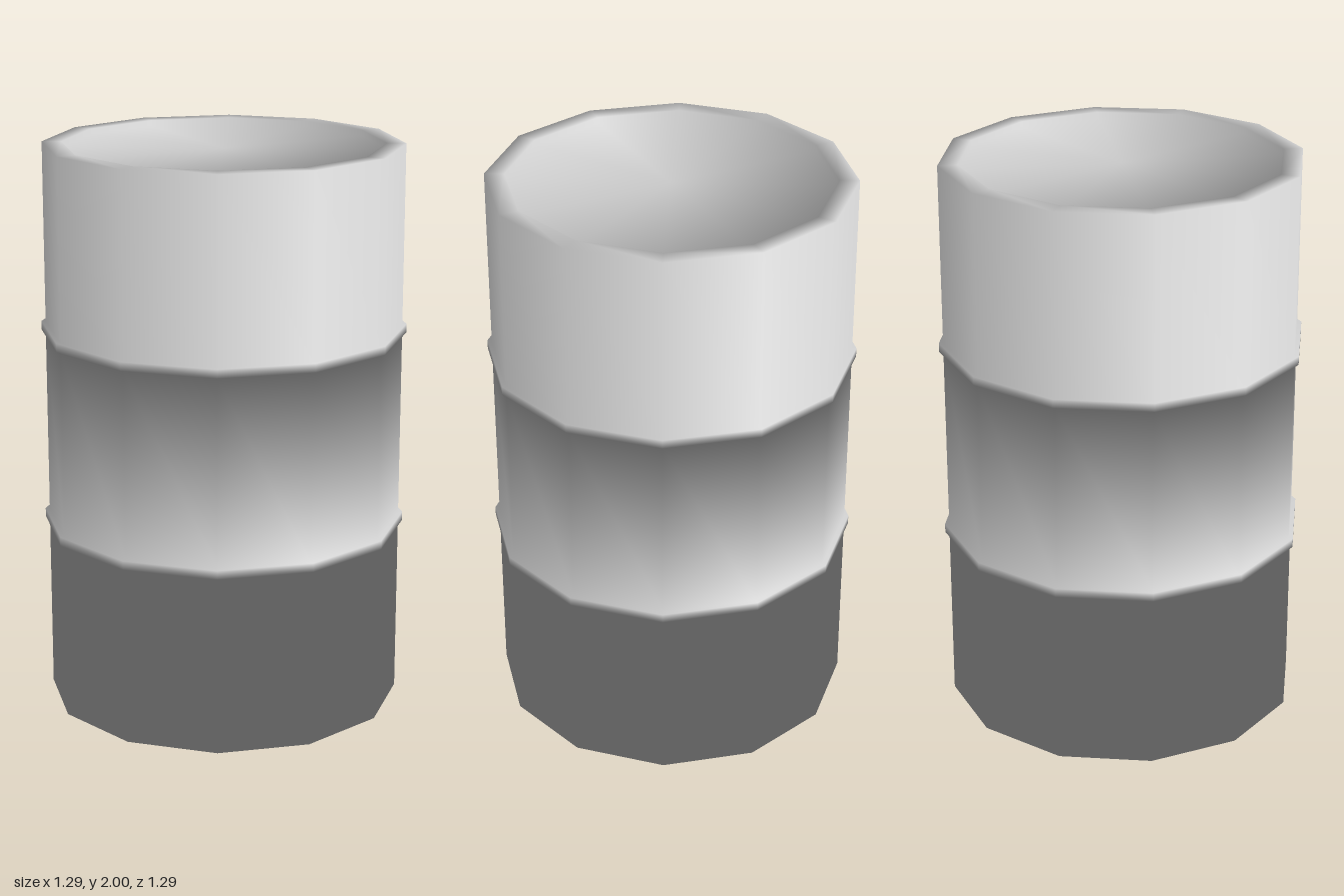
import * as THREE from 'three';

const SIDES = 12;
const R = 0.628, HOOP = 0.643, INNER = 0.56, RECESS = 0.02;

// Half section of the drum, from the bottom centre round to the top centre
const profile = [
  [0, RECESS], [INNER, RECESS], [INNER, 0], [R, 0],
  [R, 0.637], [HOOP, 0.637], [HOOP, 0.668], [R, 0.668],
  [R, 1.332], [HOOP, 1.332], [HOOP, 1.363], [R, 1.363],
  [R, 2], [INNER, 2], [INNER, 2 - RECESS], [0, 2 - RECESS],
].map(([x, y]) => new THREE.Vector2(x, y));

// Outward direction of the profile segment that starts at point i
function segmentNormal(i) {
  const d = profile[i + 1].clone().sub(profile[i]).normalize();
  return new THREE.Vector2(d.y, -d.x);
}

// Soft normal at each point: the even blend of its two segments
const last = profile.length - 1;
const normals = profile.map((p, i) => {
  if (i === 0) return new THREE.Vector2(0, -Math.SQRT1_2);
  if (i === last) return new THREE.Vector2(0, Math.SQRT1_2);
  return segmentNormal(i - 1).add(segmentNormal(i)).normalize();
});

const material = new THREE.MeshStandardMaterial({ color: 0xcccccc });

// Turns the profile points first..end into one named part
function band(name, first, end) {
  const points = profile.slice(first, end + 1);
  const geometry = new THREE.LatheGeometry(points, SIDES);
  const normal = geometry.attributes.normal;
  for (let s = 0; s <= SIDES; s++) {
    const a = (s / SIDES) * Math.PI * 2;
    points.forEach((p, j) => {
      const n = normals[first + j];
      normal.setXYZ(s * points.length + j, n.x * Math.sin(a), n.y, n.x * Math.cos(a));
    });
  }
  const mesh = new THREE.Mesh(geometry, material);
  mesh.name = name;
  return mesh;
}

export function createModel() {
  const drum = new THREE.Group();
  drum.name = 'drum';
  drum.add(
    band('bottomPanel', 0, 1),
    band('bottomRim', 1, 3),
    band('lowerWall', 3, 4),
    band('lowerHoop', 4, 7),
    band('middleWall', 7, 8),
    band('upperHoop', 8, 11),
    band('upperWall', 11, 12),
    band('topRim', 12, 14),
    band('topPanel', 14, 15),
  );
  return drum;
}
